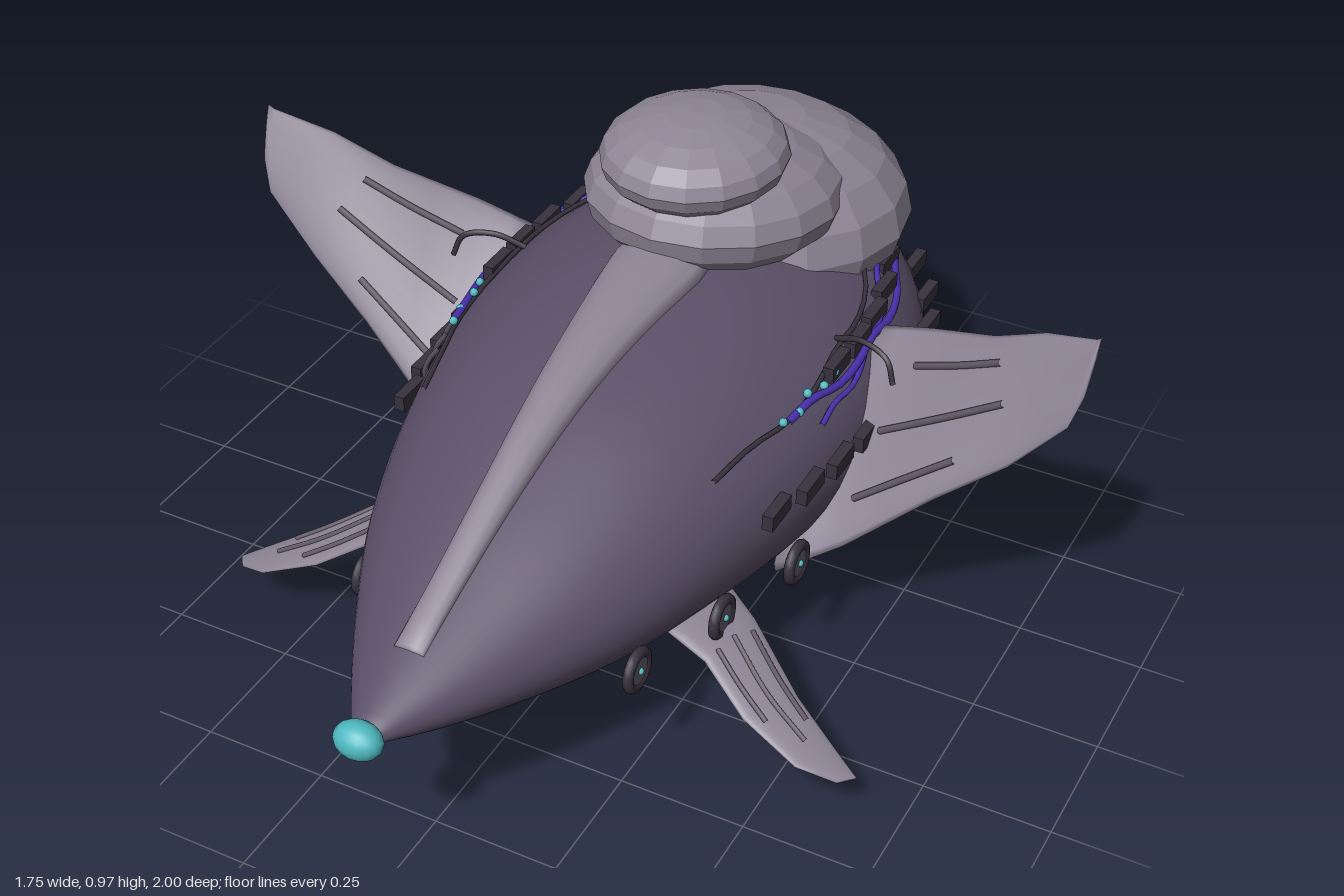
import * as THREE from 'three';

const mat = (name, color) => Object.assign(new THREE.MeshStandardMaterial({ color }), { name });
const V = (x, y, z) => new THREE.Vector3(x, y, z);

// Hull stations: z, half width, top y, bottom y
const HULL = [
  [-1, 0.02, 0.39, 0.345], [-0.95, 0.08, 0.45, 0.305], [-0.85, 0.185, 0.525, 0.22],
  [-0.75, 0.275, 0.58, 0.165], [-0.6, 0.37, 0.65, 0.115], [-0.45, 0.42, 0.69, 0.097],
  [-0.25, 0.437, 0.715, 0.095], [0, 0.418, 0.705, 0.108], [0.25, 0.362, 0.66, 0.145],
  [0.5, 0.278, 0.575, 0.2], [0.7, 0.178, 0.495, 0.262], [0.85, 0.09, 0.435, 0.318],
  [0.95, 0.025, 0.395, 0.365],
];
const hullSpline = new THREE.CubicInterpolant(HULL.map(s => s[0]), HULL.flatMap(s => s.slice(1)), 3);
const hullAt = z => {
  const [w, top, bottom] = hullSpline.evaluate(z);
  return { w, cy: (top + bottom) / 2, h: (top - bottom) / 2, top };
};
// Half width of the hull at a given height
const hullX = (z, y) => {
  const s = hullAt(z);
  return s.w * Math.sqrt(Math.max(0, 1 - ((y - s.cy) / s.h) ** 2));
};

// Closed skin over a list of rings, always facing outwards
function loft(rings) {
  const n = rings[0].length, pts = rings.flat(), idx = [];
  for (let i = 0; i < rings.length - 1; i++) for (let j = 0; j < n; j++) {
    const a = i * n + j, b = i * n + (j + 1) % n;
    idx.push(a, b, a + n, b, b + n, a + n);
  }
  for (const i of [0, rings.length - 1]) {
    const mid = rings[i].reduce((s, p) => s.add(p), V(0, 0, 0)).divideScalar(n);
    const c = pts.push(mid) - 1;
    for (let j = 0; j < n; j++) {
      const a = i * n + j, b = i * n + (j + 1) % n;
      idx.push(c, ...(i ? [a, b] : [b, a]));
    }
  }
  let volume = 0;
  for (let i = 0; i < idx.length; i += 3)
    volume += pts[idx[i]].dot(pts[idx[i + 1]].clone().cross(pts[idx[i + 2]]));
  if (volume < 0) idx.reverse();
  const g = new THREE.BufferGeometry().setFromPoints(pts);
  g.setIndex(idx);
  g.computeVertexNormals();
  return g;
}

// Fins: [leading point, trailing point, half thickness] from root to tip
const UPPER = [
  [V(0.34, 0.2, 0.04), V(0.36, 0.56, -0.33), 0.03],
  [V(0.46, 0.28, 0.0), V(0.5, 0.62, -0.29), 0.026],
  [V(0.62, 0.43, -0.03), V(0.65, 0.7, -0.21), 0.02],
  [V(0.75, 0.54, -0.05), V(0.76, 0.77, -0.165), 0.015],
  [V(0.85, 0.66, -0.055), V(0.865, 0.82, -0.115), 0.01],
  [V(0.868, 0.72, -0.07), V(0.875, 0.83, -0.11), 0.006],
];
const LOWER = [
  [V(0.25, 0.29, 0.37), V(0.25, 0.3, 0.16), 0.016],
  [V(0.36, 0.25, 0.385), V(0.39, 0.25, 0.235), 0.014],
  [V(0.46, 0.19, 0.43), V(0.52, 0.18, 0.32), 0.011],
  [V(0.575, 0.14, 0.45), V(0.62, 0.128, 0.365), 0.008],
  [V(0.645, 0.107, 0.42), V(0.67, 0.1, 0.385), 0.005],
];
// Point on a fin: s along the span, angle around the section
function finPoint(st, s, angle, side, lift = 0) {
  const i = Math.min(Math.floor(s), st.length - 2), f = s - i;
  const L = st[i][0].clone().lerp(st[i + 1][0], f), T = st[i][1].clone().lerp(st[i + 1][1], f);
  const thick = st[i][2] + (st[i + 1][2] - st[i][2]) * f;
  const u = T.clone().sub(L).multiplyScalar(0.5);
  const span = st[st.length - 1][0].clone().sub(st[0][0]);
  const p = L.add(T).multiplyScalar(0.5).addScaledVector(u, Math.cos(angle));
  p.addScaledVector(span.cross(u).normalize(), thick * Math.sin(angle) + lift);
  p.x *= side;
  return p;
}

export function createModel() {
  const plum = mat('hull plum', 0x5a5068), shell = mat('shell grey', 0x8e8696);
  const dark = mat('dark metal', 0x37323d), rib = mat('rib grey', 0x625a69);
  const teal = mat('glow teal', 0x4fb9c0), violet = mat('cable violet', 0x4a32b0);
  const model = new THREE.Group();
  const add = (name, geo, material, x = 0, y = 0, z = 0) => {
    const m = new THREE.Mesh(geo, material);
    m.name = name;
    m.position.set(x, y, z);
    model.add(m);
    return m;
  };
  const tube = (name, pts, r, material) =>
    add(name, new THREE.TubeGeometry(new THREE.CatmullRomCurve3(pts), 20, r, 6), material);
  const flatBall = (rx, ry, rz) => {
    const g = new THREE.SphereGeometry(1, 16, 10).scale(rx, ry, rz).toNonIndexed();
    g.computeVertexNormals();
    return g;
  };

  // Teardrop hull
  const hullRings = [];
  for (let i = 0; i <= 60; i++) {
    const z = -1 + 1.95 * i / 60, s = hullAt(z);
    hullRings.push(Array.from({ length: 48 }, (_, j) => {
      const a = j / 48 * Math.PI * 2;
      return V(s.w * Math.cos(a), s.cy + s.h * Math.sin(a), z);
    }));
  }
  add('hull', loft(hullRings), plum);

  // Raised spine along the back, widening under the domes
  const spine = [];
  for (let i = 0; i <= 30; i++) {
    const z = -0.9 + 1.7 * i / 30, s = hullAt(z);
    const w = z > -0.1 ? 0.03 + 0.065 * ((0.8 - z) / 0.9) ** 2 : 0.035 + 0.06 * (z + 0.9) / 0.8;
    const rise = 0.012 + 0.026 * Math.min(1, (0.8 - z) / 0.4, (z + 0.9) / 0.3);
    spine.push(Array.from({ length: 12 }, (_, j) => {
      const a = j / 12 * Math.PI * 2, x = w * Math.cos(a);
      const base = s.cy + s.h * Math.sqrt(Math.max(0, 1 - (x / s.w) ** 2));
      return V(x, base + Math.sin(a) * (Math.sin(a) > 0 ? rise : 0.03), z);
    }));
  }
  add('spine', loft(spine), shell);

  // Stacked domes
  add('rearDome', flatBall(0.33, 0.2, 0.325), shell, 0, 0.64, -0.525).rotation.x = -0.08;
  add('middleDome', flatBall(0.255, 0.125, 0.275), shell, 0, 0.755, -0.36).rotation.x = -0.1;
  add('topDome', flatBall(0.182, 0.086, 0.195), shell, 0, 0.88, -0.27);

  // Nose lamp and belly pod
  add('noseLamp', new THREE.SphereGeometry(1, 16, 10).scale(0.047, 0.035, 0.035), teal, 0, 0.385, 0.965);
  add('bellyPod', flatBall(0.168, 0.06, 0.187), shell, 0, 0.075, -0.09);
  add('bellyHatch', new THREE.CylinderGeometry(0.11, 0.085, 0.03, 16), dark, 0, 0.015, -0.09);

  for (const side of [1, -1]) {
    const tag = side > 0 ? 'left' : 'right';

    // Fins with ribs on the upper face
    for (const [name, st, r] of [['UpperFin', UPPER, 0.007], ['LowerFin', LOWER, 0.005]]) {
      const rings = [];
      for (let s = 0; s < st.length - 0.5; s += 0.5)
        rings.push(Array.from({ length: 20 }, (_, j) => finPoint(st, s, j / 20 * Math.PI * 2, side)));
      add(tag + name, loft(rings), shell);
      for (const [a, s0, s1] of [[0.9, 1.1, 2.4], [1.55, 1, 2.7], [2.2, 1, 2.2]])
        tube(tag + name + 'Rib', [s0, (s0 + s1) / 2, s1].map(s => finPoint(st, s, a, side, 0.002)), r, rib);
    }

    // Portholes
    [[0.505, 0.285], [0.305, 0.355], [0.1, 0.41], [-0.125, 0.45], [-0.355, 0.45], [-0.58, 0.4]].forEach(([z, x]) => {
      const ring = add(tag + 'PortholeRing', new THREE.TorusGeometry(0.035, 0.011, 8, 20), dark, side * x, 0.295, z);
      ring.rotation.y = Math.PI / 2;
      const glass = add(tag + 'PortholeGlass', new THREE.CylinderGeometry(0.034, 0.034, 0.014, 20), rib, side * x, 0.295, z);
      glass.rotation.z = Math.PI / 2;
      add(tag + 'PortholeStud', new THREE.SphereGeometry(0.007, 8, 6), teal, side * (x + 0.007), 0.295, z);
    });

    // Two rows of slats along the flank
    for (const [y, z0, step, count] of [[0.455, 0.165, 0.098, 10], [0.585, -0.14, 0.094, 7]])
      for (let i = 0; i < count; i++) {
        const z = z0 - i * step;
        add(tag + 'Slat', new THREE.BoxGeometry(0.022, 0.032, 0.08), dark, side * (hullX(z, y) + 0.015), y, z);
      }

    // Flank cables with glowing beads
    const run = (z0, z1, y0, y1, gap) => Array.from({ length: 9 }, (_, i) => {
      const z = z0 + (z1 - z0) * i / 8, y = y0 + (y1 - y0) * i / 8 + 0.006 * Math.sin(i * 2);
      return V(side * (hullX(z, y) + gap), y, z);
    });
    tube(tag + 'DarkCable', run(0.25, -0.6, 0.55, 0.63, 0.008), 0.005, dark);
    tube(tag + 'VioletCable', run(0.05, -0.6, 0.57, 0.565, 0.018), 0.008, violet);
    tube(tag + 'LowerVioletCable', run(-0.02, -0.5, 0.53, 0.6, 0.012), 0.006, violet);
    run(0.06, -0.12, 0.575, 0.585, 0.02).filter((_, i) => i % 2 === 0).forEach(p =>
      add(tag + 'Bead', new THREE.SphereGeometry(0.009, 8, 6), teal, p.x, p.y, p.z));

    // Looped handle by the fin root
    tube(tag + 'Handle', [V(side * 0.34, 0.6, -0.2), V(side * 0.4, 0.625, -0.18), V(side * 0.46, 0.615, -0.16),
      V(side * 0.48, 0.57, -0.15)], 0.006, dark);
  }

  // Short curved hoses on the right shoulder
  for (let k = 0; k < 3; k++)
    tube('shoulderHose', [0.55, 0.51, 0.47, 0.43].map((y, i) => {
      const z = 0.12 - k * 0.05 - i * 0.01;
      return V(-hullX(z, y) - 0.008, y, z);
    }), 0.006, rib);

  // Tail feelers with glowing tips
  [[-0.075, 0.5], [-0.045, 0.535], [0, 0.45], [0.04, 0.48], [0.075, 0.53]].forEach(([x, y]) => {
    tube('tailFeeler', [V(x * 0.3, 0.51, -0.85), V(x * 0.5, 0.53, -0.9), V(x * 0.8, (y + 0.53) / 2, -0.95),
      V(x, y, -0.985)], 0.004, dark);
    add('feelerTip', new THREE.SphereGeometry(0.008, 8, 6), teal, x, y, -0.988);
  });

  return model;
}
